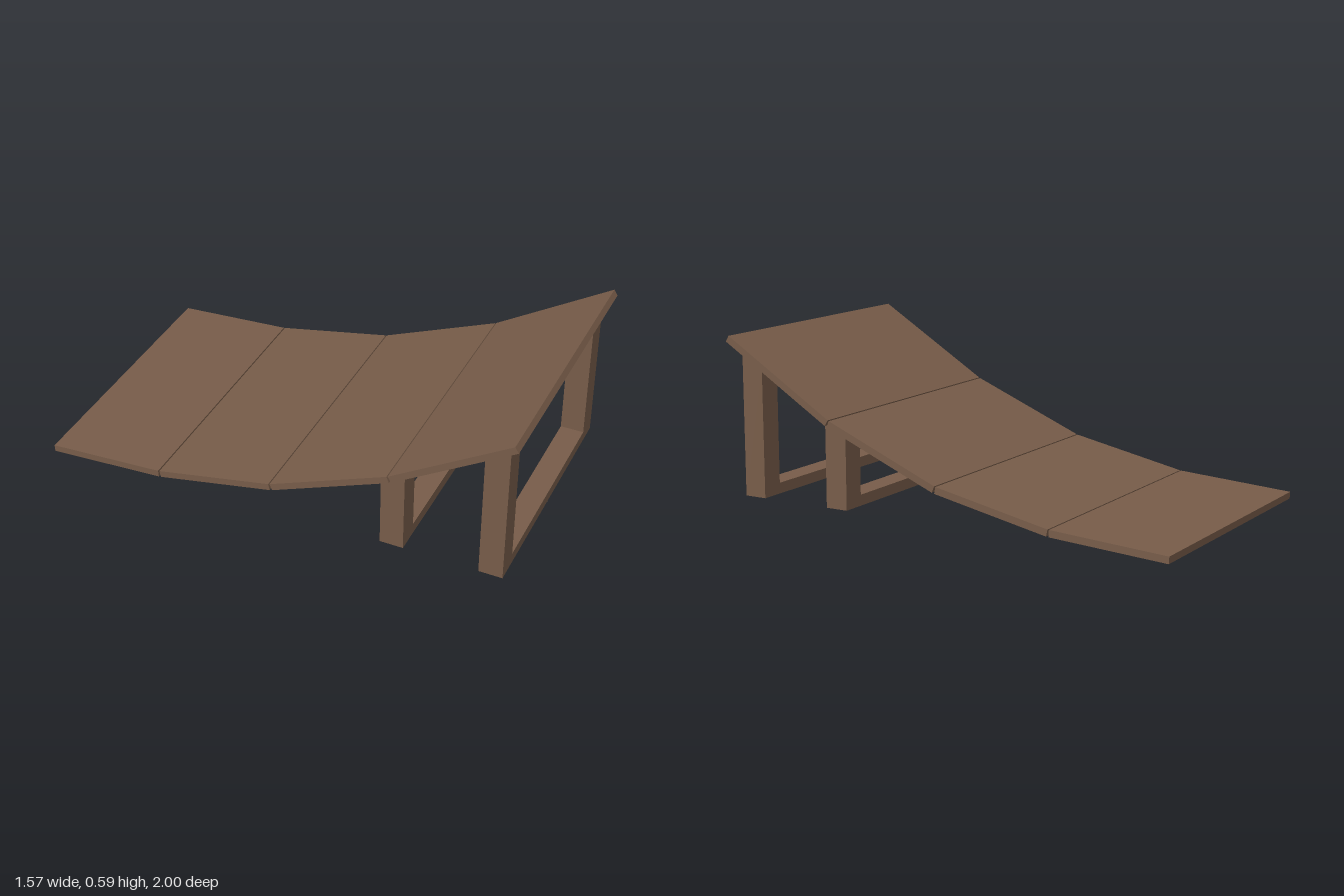
import * as THREE from 'three';

export function createModel() {
  const model = new THREE.Group();
  model.name = 'ramp';
  const wood = new THREE.MeshStandardMaterial({ color: 0x775c49, side: THREE.DoubleSide });
  wood.name = 'brown wood';

  const add = (name, geometry, parent) => {
    const mesh = new THREE.Mesh(geometry, wood);
    mesh.name = name;
    parent.add(mesh);
    return mesh;
  };

  // the whole ramp is turned about the vertical axis
  const body = new THREE.Group();
  body.name = 'rampBody';
  body.rotation.y = 0.371;
  model.add(body);

  // deck: four shallow trays, open below, following a curved run
  const width = 1.0, thick = 0.025, gap = 0.005;
  const joints = [[0.87, 0.59], [0.4375, 0.325], [0, 0.144], [-0.4375, 0.054], [-0.875, 0.026]];
  for (let i = 0; i < joints.length - 1; i++) {
    const [z0, y0] = joints[i], [z1, y1] = joints[i + 1];
    const slope = Math.atan2(y0 - y1, z0 - z1);
    const geometry = new THREE.BoxGeometry(width, thick, Math.hypot(z0 - z1, y0 - y1) - gap);
    // leave out the bottom face
    geometry.setIndex(Array.from(geometry.index.array).filter((v, k) => k < 18 || k >= 24));
    geometry.clearGroups();
    geometry.translate(0, -thick / 2, 0);
    const panel = add('deckPanel' + (i + 1), geometry, body);
    panel.position.set(0, (y0 + y1) / 2, (z0 + z1) / 2);
    panel.rotation.x = -slope;
  }

  // supports: two legs cut to the deck slope, joined by a floor rail
  const leg = 0.086, legX = 0.413, cut = 0.61;
  const addSupport = (name, z, frontTop) => {
    const support = new THREE.Group();
    support.name = name;
    support.position.z = z;
    body.add(support);
    for (const side of [-1, 1]) {
      const geometry = new THREE.BoxGeometry(leg, 1, leg);
      const p = geometry.attributes.position;
      for (let i = 0; i < p.count; i++) {
        p.setY(i, p.getY(i) > 0 ? frontTop + cut * (p.getZ(i) - leg / 2) : 0);
      }
      geometry.computeVertexNormals();
      add(side > 0 ? 'leftLeg' : 'rightLeg', geometry, support).position.x = side * legX;
    }
    const rail = add('floorRail', new THREE.BoxGeometry(legX * 2 - leg, 0.04, leg), support);
    rail.position.y = 0.02;
  };
  addSupport('frontSupport', 0.8, 0.54);
  addSupport('middleSupport', 0.44, 0.338);

  return model;
}
